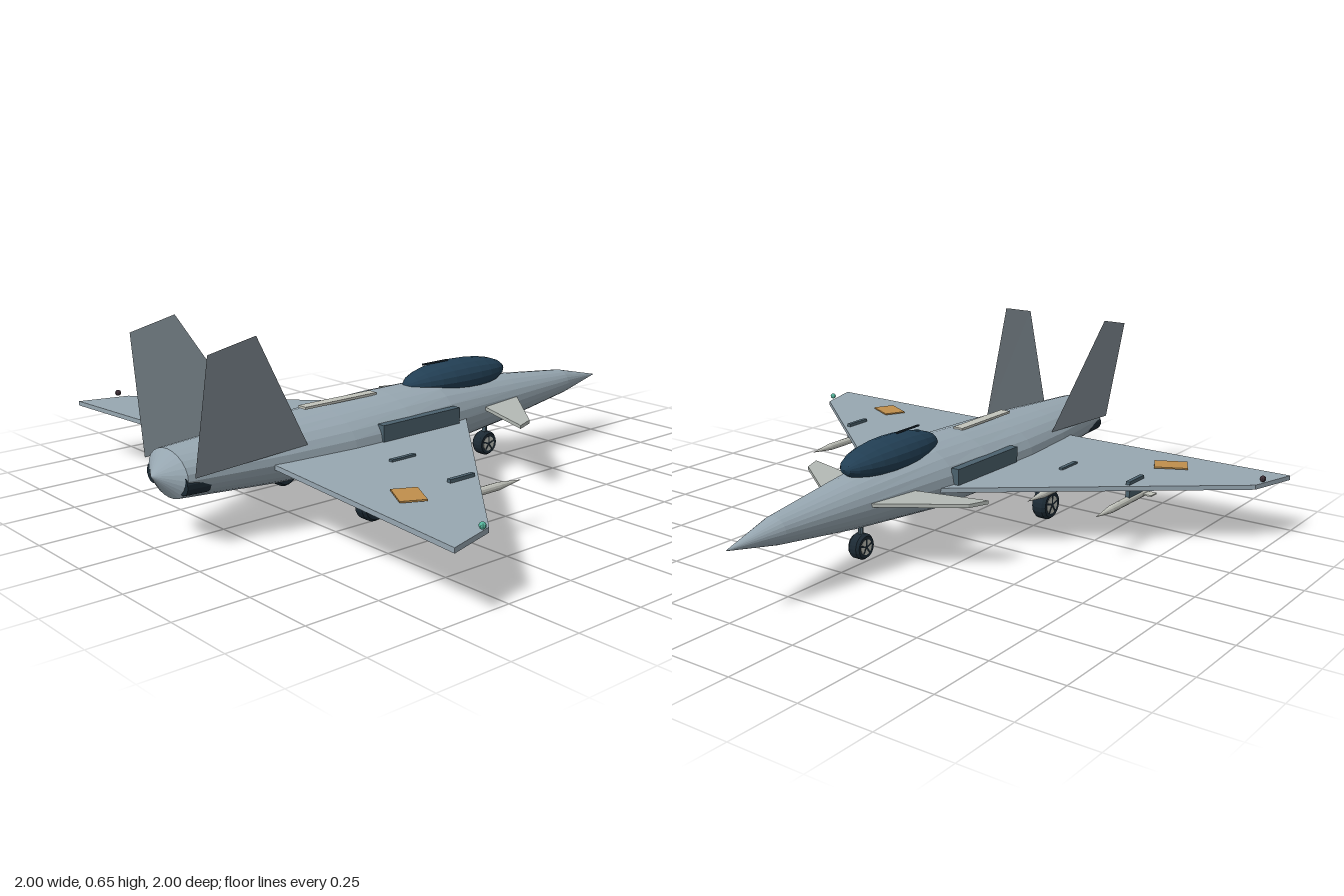
import * as THREE from 'three';

const mat = (color, extra = {}) => new THREE.MeshStandardMaterial({ color, flatShading: true, ...extra });
const M = {
  body: mat(0x97a7b1), fin: mat(0x87939b, { side: THREE.DoubleSide }), canard: mat(0xb4bab5),
  glass: mat(0x223f54), intake: mat(0x4c626e), dark: mat(0x1c2a34), pale: mat(0xc2c4bc),
  panel: mat(0xc08f4c), green: mat(0x55b59c), port: mat(0x3a2c34),
};

export function createModel() {
  const root = new THREE.Group();

  function add(name, geo, material, pos = [0, 0, 0], parent = root) {
    const m = new THREE.Mesh(geo, material);
    m.name = name;
    m.position.set(...pos);
    parent.add(m);
    return m;
  }
  const box = (w, h, d) => new THREE.BoxGeometry(w, h, d);

  // Loft of elliptical rings [z, half width, half height, centre y]
  function loft(rings, n = 24) {
    const pos = [], idx = [];
    for (const [z, rx, ry, cy] of rings)
      for (let i = 0; i < n; i++) {
        const a = (i / n) * Math.PI * 2;
        pos.push(rx * Math.cos(a), cy + ry * Math.sin(a), z);
      }
    for (let j = 0; j < rings.length - 1; j++)
      for (let i = 0; i < n; i++) {
        const a = j * n + i, b = j * n + (i + 1) % n;
        idx.push(a, b, a + n, b, b + n, a + n);
      }
    const g = new THREE.BufferGeometry();
    g.setAttribute('position', new THREE.Float32BufferAttribute(pos, 3));
    g.setIndex(idx);
    g.computeVertexNormals();
    return g;
  }

  // Flat lifting surface from an x/z outline, drooping towards the tip
  function plate(outline, side, y, thick, droop) {
    const shape = new THREE.Shape(outline.map(([x, z]) => new THREE.Vector2(x * side, -z)));
    const g = new THREE.ExtrudeGeometry(shape, { depth: thick, bevelEnabled: false });
    g.rotateX(-Math.PI / 2);
    const p = g.attributes.position;
    for (let i = 0; i < p.count; i++) p.setY(i, p.getY(i) + y - droop * Math.abs(p.getX(i)));
    g.computeVertexNormals();
    return g;
  }

  // Round bar between two points
  function rod(name, a, b, r, material) {
    const A = new THREE.Vector3(...a), B = new THREE.Vector3(...b), d = B.clone().sub(A);
    const m = add(name, new THREE.CylinderGeometry(r, r, d.length(), 10), material);
    m.position.copy(A).add(B).multiplyScalar(0.5);
    m.quaternion.setFromUnitVectors(new THREE.Vector3(0, 1, 0), d.normalize());
  }

  // Tyre with a pale hub and dark spokes on both faces
  function wheel(name, r, w, pos) {
    const g = new THREE.Group();
    g.name = name;
    g.position.set(...pos);
    const profile = [[0, -0.4], [0.85, -0.5], [1, -0.3], [1, 0.3], [0.85, 0.5], [0, 0.4]]
      .map(([a, b]) => new THREE.Vector2(a * r, b * w));
    add('tyre', new THREE.LatheGeometry(profile, 20).rotateZ(Math.PI / 2), M.dark, undefined, g);
    add('hub', new THREE.CylinderGeometry(r * 0.6, r * 0.6, w * 1.02, 16).rotateZ(Math.PI / 2), M.pale, undefined, g);
    for (let i = 0; i < 5; i++) {
      const a = (i / 5) * Math.PI * 2;
      const s = add('spoke', box(w * 1.06, r * 0.6, r * 0.13), M.dark,
        [0, Math.cos(a) * r * 0.3, Math.sin(a) * r * 0.3], g);
      s.rotation.x = a;
    }
    root.add(g);
  }

  // Fuselage and tail cone
  add('fuselage', loft([
    [-1, 0.001, 0.001, 0.226], [-0.8, 0.05, 0.045, 0.23], [-0.48, 0.1, 0.083, 0.226],
    [-0.1, 0.158, 0.116, 0.226], [0.1, 0.175, 0.115, 0.225], [0.35, 0.176, 0.106, 0.224],
    [0.6, 0.157, 0.097, 0.223], [0.94, 0.113, 0.077, 0.224],
  ]), M.body);
  add('tailCone', loft([[0.94, 0.113, 0.077, 0.224], [1, 0.001, 0.001, 0.226]]), M.body);

  // Canopy, its top bar and the spine strip
  add('canopy', new THREE.SphereGeometry(1, 18, 12).rotateX(Math.PI / 2).scale(0.085, 0.062, 0.235), M.glass, [0, 0.338, -0.243]);
  add('canopyBar', box(0.005, 0.006, 0.12), M.dark, [0, 0.402, -0.15]);
  add('spineStrip', box(0.038, 0.008, 0.3), M.pale, [0, 0.34, 0.285]);

  const wing = [[0.08, -0.22], [0.95, 0.53], [1, 0.705], [0.08, 0.65]];
  const canard = [[0.04, -0.51], [0.34, -0.275], [0.367, -0.203], [0.04, -0.3]];

  for (const s of [1, -1]) {
    const side = s > 0 ? 'left' : 'right';
    const n = (part) => side + part;

    // Wings and foreplanes
    add(n('Wing'), plate(wing, s, 0.212, 0.016, 0.015), M.body);
    add(n('Canard'), plate(canard, s, 0.234, 0.012, 0.02), M.canard);

    // Canted tail fin, a single thin sheet
    const fin = new THREE.BufferGeometry();
    fin.setAttribute('position', new THREE.Float32BufferAttribute([
      s * 0.147, 0.265, 0.525, s * 0.22, 0.655, 0.76, s * 0.214, 0.62, 0.925, s * 0.142, 0.24, 0.935], 3));
    fin.setIndex([0, 1, 2, 0, 2, 3]);
    fin.computeVertexNormals();
    add(n('TailFin'), fin, M.fin);

    // Intake and engine nozzle
    add(n('Intake'), box(0.03, 0.068, 0.345), M.intake, [s * 0.164, 0.247, 0.07]).rotation.y = s * 0.015;
    add(n('Nozzle'), new THREE.CylinderGeometry(0.033, 0.036, 0.08, 14).rotateX(Math.PI / 2), M.dark, [s * 0.083, 0.207, 0.905]);

    // Wing panel and tip light
    add(n('WingPanel'), box(0.115, 0.005, 0.082), M.panel, [s * 0.632, 0.225, 0.535]).rotation.y = -s * 0.48;
    add(n('TipLight'), new THREE.SphereGeometry(0.011, 10, 8), s > 0 ? M.green : M.port, [s * 0.96, 0.229, 0.565]);

    // Pylons carrying slim missiles
    for (const x of [0.35, 0.613]) {
      add(n('Pylon'), box(0.015, 0.06, 0.1), M.intake, [s * x, 0.2, 0.31]);
      const missile = new THREE.Group();
      missile.name = n('Missile');
      missile.position.set(s * x, 0.163, 0);
      root.add(missile);
      add('missileBody', new THREE.CylinderGeometry(0.013, 0.013, 0.25, 12).rotateX(Math.PI / 2), M.pale, [0, 0, 0.275], missile);
      add('missileNose', new THREE.ConeGeometry(0.013, 0.1, 12).rotateX(-Math.PI / 2), M.pale, [0, 0, 0.1], missile);
      add('missileFins', box(0.085, 0.005, 0.04), M.pale, [0, 0, 0.37], missile);
    }

    // Main landing gear
    rod(n('MainStrut'), [s * 0.11, 0.18, 0.345], [s * 0.235, 0.06, 0.345], 0.009, M.intake);
    wheel(n('MainWheel'), 0.055, 0.055, [s * 0.24, 0.055, 0.345]);
  }

  // Nose landing gear
  rod('noseStrut', [0, 0.17, -0.4], [0, 0.063, -0.4], 0.009, M.intake);
  wheel('noseWheel', 0.044, 0.046, [0, 0.062, -0.4]);

  return root;
}
